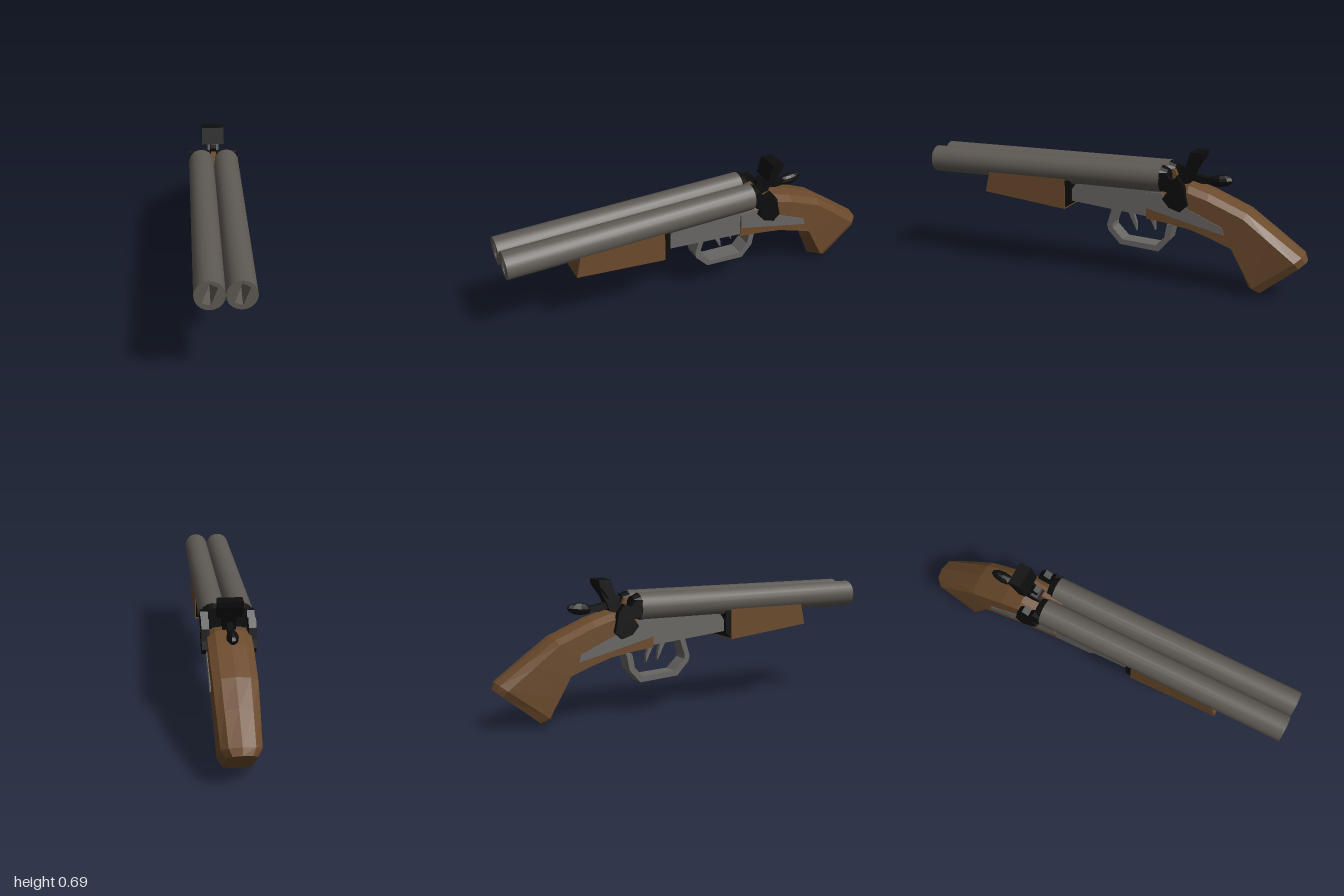
import * as THREE from 'three';
import { toCreasedNormals } from 'three/addons/utils/BufferGeometryUtils.js';

const mat = (name, color, flat = true) => {
  const m = new THREE.MeshStandardMaterial({ color, flatShading: flat });
  m.name = name;
  return m;
};

export function createModel() {
  const group = new THREE.Group();
  const barrelSteel = mat('barrel steel', 0x5e5953, false);
  const steel = mat('receiver steel', 0x686663);
  const wood = mat('wood', 0x6b4a2c);
  const black = mat('black iron', 0x0d0d0d);

  const add = (name, geometry, material) => {
    const mesh = new THREE.Mesh(geometry, material);
    mesh.name = name;
    group.add(mesh);
    return mesh;
  };

  // Extrude a side profile of [z, y] points across x
  const side = (name, points, width, material, x = 0) => {
    const shape = new THREE.Shape(points.map(([z, y]) => new THREE.Vector2(z, y)));
    const geo = new THREE.ExtrudeGeometry(shape, { depth: width, bevelEnabled: false });
    geo.translate(0, 0, -width / 2).rotateY(-Math.PI / 2).translate(x, 0, 0);
    return add(name, geo, material);
  };

  // Twin barrels with slanted bores, closed by dark breech caps
  for (const s of [1, -1]) {
    const x = s * 0.0655;
    const shape = new THREE.Shape();
    shape.absellipse(0, 0, 0.0655, 0.069, 0, Math.PI * 2, false, 0);
    shape.holes.push(new THREE.Path([[0, 0.056], [0.034, 0.036], [0.004, -0.047], [-0.031, -0.036]]
      .map(([a, b]) => new THREE.Vector2(a, b))));
    const geo = new THREE.ExtrudeGeometry(shape, { depth: 1.285, bevelEnabled: false, curveSegments: 10 });
    geo.translate(x, 0.552, -0.285);
    add('barrel', toCreasedNormals(geo, 0.65), barrelSteel);

    const cap = new THREE.CylinderGeometry(0.066, 0.052, 0.035, 18);
    cap.rotateX(Math.PI / 2).translate(x, 0.552, -0.302);
    add('breechCap', cap, black);

    // Side hammer
    side('sideHammer', [[-0.29, 0.51], [-0.285, 0.59], [-0.32, 0.59], [-0.345, 0.56], [-0.38, 0.575],
      [-0.41, 0.535], [-0.42, 0.48], [-0.43, 0.44], [-0.395, 0.407], [-0.34, 0.425],
      [-0.305, 0.465], [-0.33, 0.5]], 0.036, black, s * 0.11);
  }

  // Wooden fore-end and its iron
  side('foreEnd', [[0.655, 0.515], [0.22, 0.515], [0.22, 0.358], [0.68, 0.408]], 0.24, wood);
  side('foreEndIron', [[0.22, 0.51], [0.19, 0.51], [0.19, 0.395], [0.22, 0.365]], 0.23, black);

  // Receiver and the plates let into the stock
  side('receiver', [[0.197, 0.4], [0.2, 0.445], [0.17, 0.487], [0.12, 0.5], [-0.3, 0.5],
    [-0.215, 0.47], [-0.215, 0.36]], 0.19, steel);
  for (const s of [1, -1]) {
    side('sidePlate', [[-0.215, 0.48], [-0.29, 0.49], [-0.36, 0.45], [-0.5, 0.39], [-0.6, 0.345],
      [-0.61, 0.31], [-0.5, 0.335], [-0.215, 0.405]], 0.009, steel, s * 0.1025);
  }

  // Grip stock: loft of [topZ, topY, bottomZ, bottomY, halfWidth]
  const stations = [
    [-0.215, 0.48, -0.215, 0.33, 0.1], [-0.32, 0.515, -0.32, 0.312, 0.102],
    [-0.42, 0.535, -0.45, 0.285, 0.103], [-0.52, 0.505, -0.54, 0.255, 0.103],
    [-0.71, 0.425, -0.638, 0.218, 0.1], [-0.84, 0.335, -0.678, 0.12, 0.095],
    [-0.985, 0.232, -0.718, 0.025, 0.088], [-1.0, 0.2, -0.76, 0.003, 0.066],
  ];
  const section = [[0, 0], [0.65, 0.03], [1, 0.14], [1, 0.87], [0, 1], [-1, 0.87], [-1, 0.14], [-0.65, 0.03]];
  const n = section.length;
  const pos = [], idx = [];
  for (const [tz, ty, bz, by, w] of stations) {
    for (const [u, v] of section) pos.push(u * w, ty + (by - ty) * v, tz + (bz - tz) * v);
  }
  const last = stations.length - 1;
  for (let i = 0; i < last; i++) {
    for (let j = 0; j < n; j++) {
      const k = (j + 1) % n, a = i * n, b = a + n;
      idx.push(a + j, a + k, b + k, a + j, b + k, b + j);
    }
  }
  for (let j = 1; j < n - 1; j++) {
    idx.push(0, j + 1, j, last * n, last * n + j, last * n + j + 1);
  }
  const stock = new THREE.BufferGeometry();
  stock.setAttribute('position', new THREE.Float32BufferAttribute(pos, 3));
  stock.setIndex(idx);
  stock.computeVertexNormals();
  add('gripStock', stock, wood);

  // Small wooden wedge between the barrel ends
  side('stockWedge', [[-0.22, 0.57], [-0.33, 0.59], [-0.36, 0.52], [-0.22, 0.5]], 0.026, wood);

  // Trigger guard
  side('triggerGuard', [[-0.015, 0.385], [0.017, 0.28], [0.01, 0.25], [-0.055, 0.182], [-0.262, 0.167],
    [-0.32, 0.232], [-0.337, 0.315], [-0.305, 0.315], [-0.292, 0.245], [-0.25, 0.198],
    [-0.07, 0.208], [-0.014, 0.265], [-0.012, 0.285], [-0.045, 0.385]], 0.09, steel);

  // Two curved triggers
  for (const [z, x] of [[-0.075, 0.02], [-0.16, -0.02]]) {
    side('trigger', [[z, 0.385], [z - 0.025, 0.34], [z - 0.045, 0.3], [z - 0.065, 0.26],
      [z - 0.063, 0.3], [z - 0.05, 0.34], [z - 0.035, 0.385]], 0.022, steel, x);
  }

  // Central spur with a broad head
  side('spurStem', [[-0.32, 0.53], [-0.35, 0.565], [-0.385, 0.575], [-0.42, 0.64], [-0.465, 0.64],
    [-0.43, 0.57], [-0.41, 0.52]], 0.06, black);
  side('spurHead', [[-0.395, 0.605], [-0.42, 0.69], [-0.482, 0.688], [-0.478, 0.66], [-0.43, 0.595]], 0.118, black);

  // Opening lever with a spoon tip
  side('leverArm', [[-0.35, 0.6], [-0.375, 0.612], [-0.43, 0.575], [-0.49, 0.562], [-0.56, 0.565],
    [-0.56, 0.535], [-0.47, 0.53], [-0.36, 0.56]], 0.03, black);
  const spoon = new THREE.SphereGeometry(1, 10, 6);
  spoon.scale(0.028, 0.03, 0.065);
  const tip = add('leverSpoon', spoon, black);
  tip.position.set(0, 0.55, -0.56);
  tip.rotation.x = 0.1;

  return group;
}
